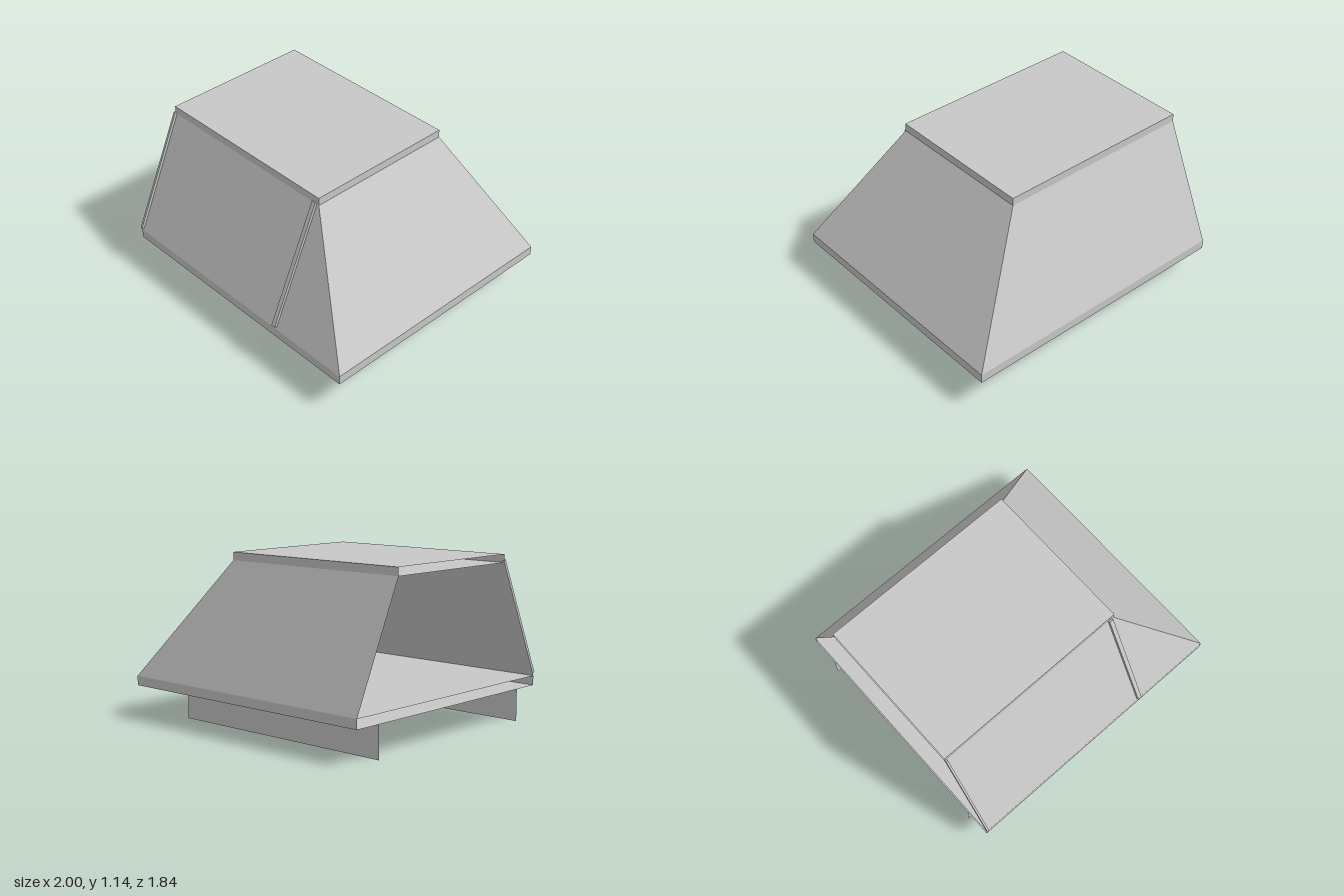
import * as THREE from 'three';

export function createModel() {
  const group = new THREE.Group();
  group.name = 'hood';
  const grey = new THREE.MeshStandardMaterial({ color: 0xc8c8c8, side: THREE.DoubleSide });
  grey.name = 'light grey';

  const add = (name, geometry) => {
    const mesh = new THREE.Mesh(geometry, grey);
    mesh.name = name;
    group.add(mesh);
    return mesh;
  };

  // Flat four-sided panels, corners counter-clockwise from outside
  const panels = (quads) => {
    const pos = [];
    for (const [a, b, c, d] of quads) for (const p of [a, b, c, a, c, d]) pos.push(...p);
    const g = new THREE.BufferGeometry();
    g.setAttribute('position', new THREE.Float32BufferAttribute(pos, 3));
    g.computeVertexNormals();
    return g;
  };

  // Level outline, running front, right-hand end, back; the x = -1 end stays open
  const section = (y, x, front, back) => [[-1, y, front], [x, y, front], [x, y, back], [-1, y, back]];
  const walls = (low, high) =>
    panels([0, 1, 2].map((i) => [low[i], low[i + 1], high[i + 1], high[i]]));
  const sheet = (s) => panels([s]);
  const underside = (s) => panels([[...s].reverse()]);

  const base = (y) => section(y, 1, 0.905, -0.92);
  const crown = (y) => section(y, 0.425, 0.535, -0.55);
  const skirt = (y) => section(y, 0.71, 0.71, -0.72);

  add('skirt', walls(skirt(0), skirt(0.22)));
  add('rimUnderside', underside(base(0.22)));
  add('rim', walls(base(0.22), base(0.285)));
  add('rimTop', sheet(base(0.285)));
  add('slopingPanels', walls(base(0.285), crown(1.09)));
  add('crownUnderside', underside(crown(1.09)));
  add('crownBand', walls(crown(1.09), crown(1.145)));
  add('crownTop', sheet(crown(1.145)));

  // Leaning corner post: a box sheared toward the front at its foot
  const post = new THREE.BoxGeometry(0.08, 0.22, 0.08);
  const p = post.attributes.position;
  for (let i = 0; i < p.count; i++) p.setZ(i, p.getZ(i) - p.getY(i) * 0.34);
  post.computeVertexNormals();
  add('cornerPost', post).position.set(0.71, 0.11, 0.667);

  // Battens lying on the front slope; the end one is half width
  for (const [x, width, tilt] of [[-0.9925, 0.015, 0], [0.395, 0.03, 0.006]]) {
    const batten = add('frontBatten', new THREE.BoxGeometry(width, 0.88, 0.02));
    batten.position.set(x, 0.704, 0.724);
    batten.rotation.set(-0.4305, 0, tilt);
  }

  return group;
}
